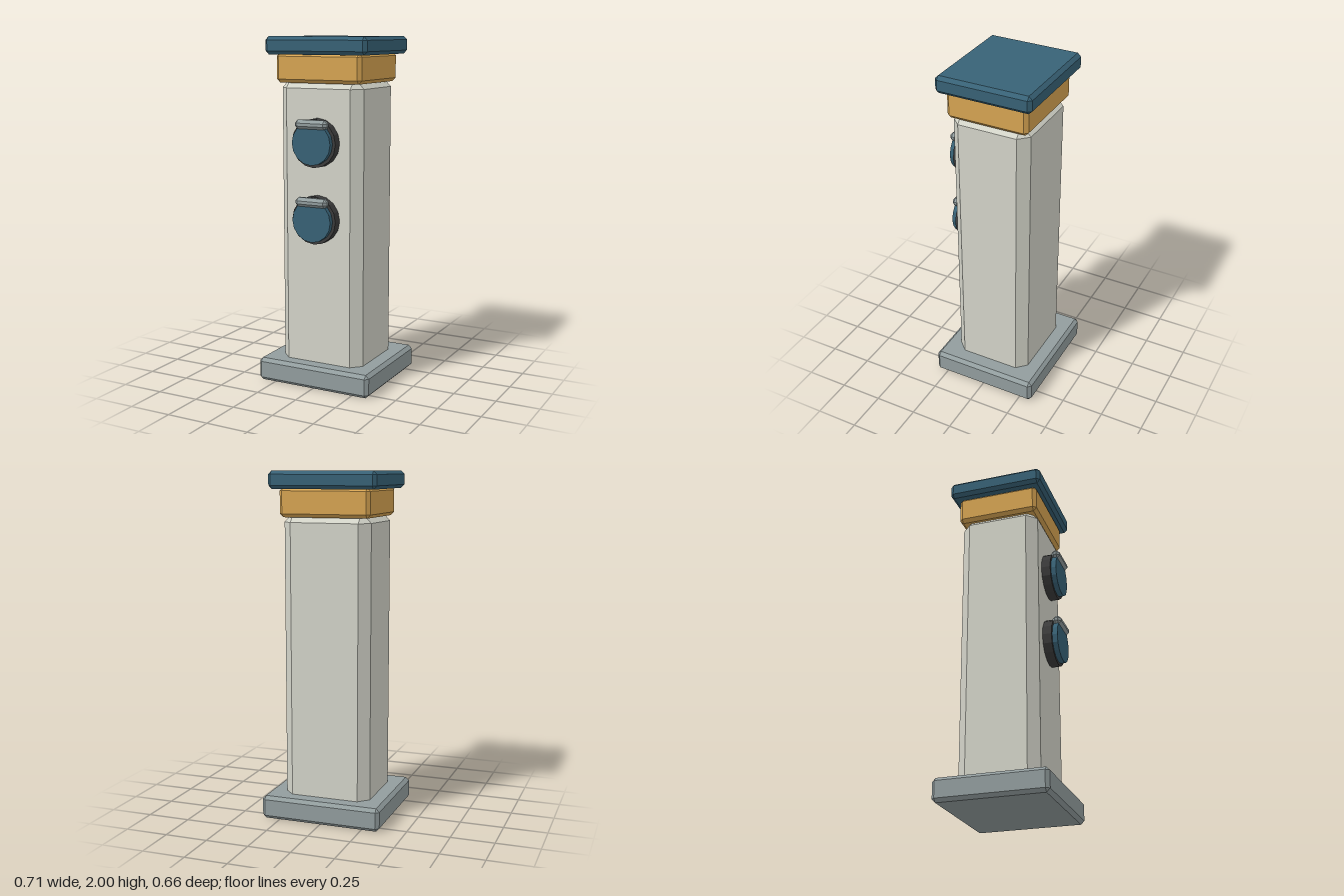
import * as THREE from 'three';
import { ConvexGeometry } from 'three/addons/geometries/ConvexGeometry.js';

const makeMaterial = (name, color) => {
  const material = new THREE.MeshStandardMaterial({ color });
  material.name = name;
  return material;
};

// Box with every edge cut by a flat chamfer c
function chamferBox(w, h, d, c) {
  const points = [];
  for (const sx of [-1, 1]) for (const sy of [-1, 1]) for (const sz of [-1, 1]) {
    const x = w / 2, y = h / 2, z = d / 2;
    points.push(
      new THREE.Vector3(sx * x, sy * (y - c), sz * (z - c)),
      new THREE.Vector3(sx * (x - c), sy * y, sz * (z - c)),
      new THREE.Vector3(sx * (x - c), sy * (y - c), sz * z)
    );
  }
  return new ConvexGeometry(points);
}

// Faceted disc facing +z with flat-shaded sides
function disc(radius, depth) {
  return new THREE.CylinderGeometry(radius, radius, depth, 16).rotateX(Math.PI / 2).toNonIndexed();
}

export function createModel() {
  const stone = makeMaterial('pale stone', 0xd3d4c9);
  const grey = makeMaterial('grey metal', 0x929d9e);
  const amber = makeMaterial('amber', 0xd6a452);
  const teal = makeMaterial('dark teal', 0x386276);
  const black = makeMaterial('charcoal', 0x3c3c3c);

  const model = new THREE.Group();
  model.name = 'powerPedestal';
  const add = (parent, name, geometry, material, x, y, z) => {
    geometry.computeVertexNormals();
    const mesh = new THREE.Mesh(geometry, material);
    mesh.name = name;
    mesh.position.set(x, y, z);
    parent.add(mesh);
  };

  // Pedestal, from the ground up
  const cz = -0.005;
  add(model, 'basePlate', chamferBox(0.712, 0.135, 0.647, 0.02), grey, 0, 0.0675, cz);
  add(model, 'column', chamferBox(0.514, 1.7, 0.465, 0.057), stone, 0, 0.922, -0.003);
  add(model, 'lightBand', chamferBox(0.532, 0.167, 0.482, 0.02), amber, 0, 1.8265, -0.003);
  add(model, 'cap', chamferBox(0.632, 0.1, 0.564, 0.02), teal, 0, 1.95, cz);

  // Two covered sockets on the front face
  for (const [name, y] of [['upperSocket', 1.417], ['lowerSocket', 0.983]]) {
    const socket = new THREE.Group();
    socket.name = name;
    socket.position.y = y;
    add(socket, 'socketRing', disc(0.137, 0.07), black, 0, 0, 0.247);
    add(socket, 'socketLid', disc(0.12, 0.05), teal, 0, 0, 0.287);
    add(socket, 'lidHinge', chamferBox(0.2, 0.053, 0.053, 0.018), grey, 0, 0.105, 0.301);
    model.add(socket);
  }
  return model;
}
